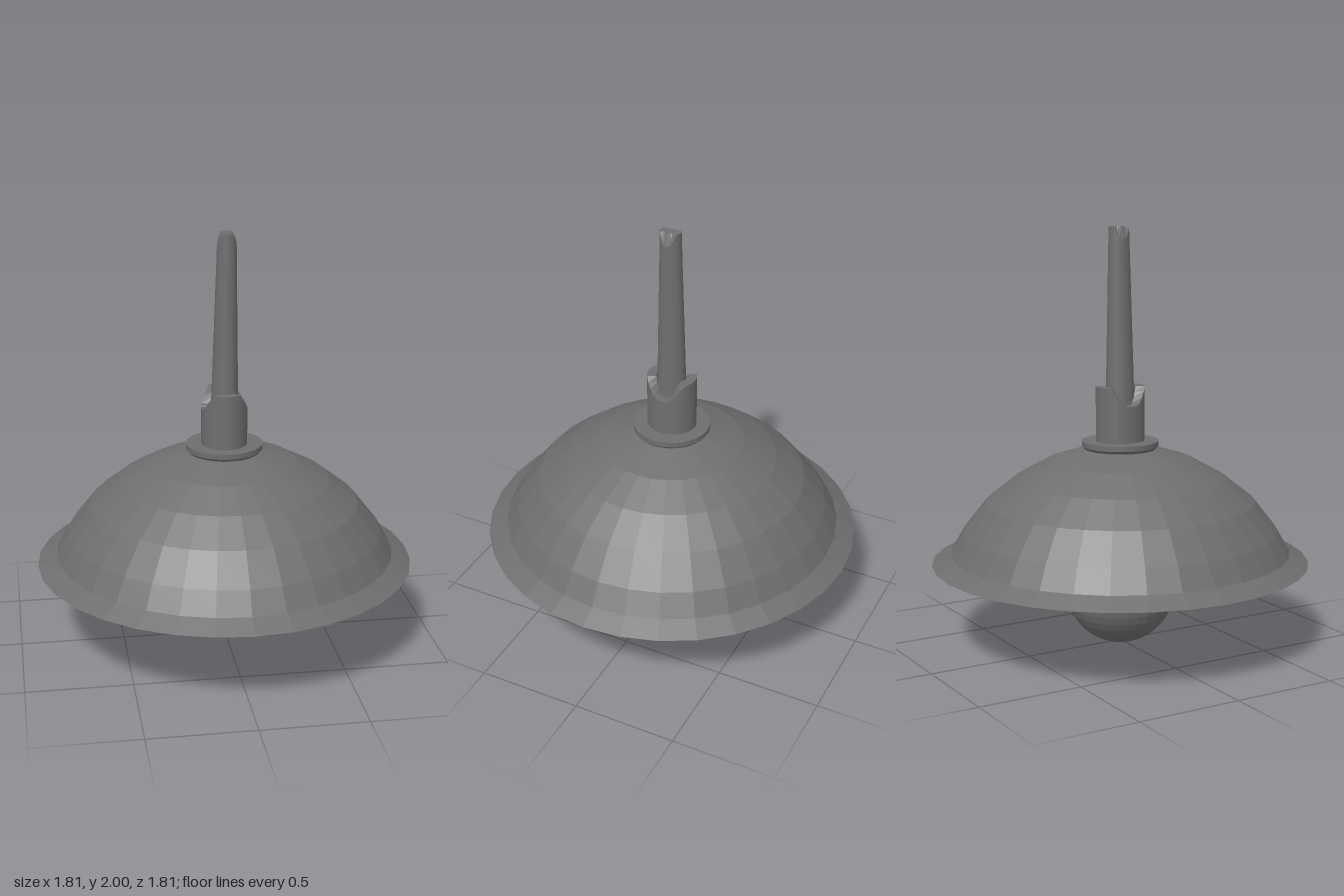
import * as THREE from 'three';

const SIDES = 32;

export function createModel() {
  const model = new THREE.Group();
  const material = new THREE.MeshStandardMaterial({ color: 0x6e6e6e, flatShading: true });

  // Revolve a profile of [radius, height] pairs around the y axis
  const lathe = (profile) =>
    new THREE.LatheGeometry(profile.map(([r, y]) => new THREE.Vector2(r, y)), SIDES);

  const add = (name, geometry) => {
    const mesh = new THREE.Mesh(geometry, material);
    mesh.name = name;
    model.add(mesh);
  };

  // Cut sloped notches into the +x and -x sides of the rim above `from`, outside `inner`
  const notch = (geometry, from, inner, depth) => {
    const p = geometry.attributes.position;
    for (let i = 0; i < p.count; i++) {
      const x = Math.abs(p.getX(i)), z = Math.abs(p.getZ(i));
      if (p.getY(i) < from || Math.hypot(x, z) < inner) continue;
      const ramp = THREE.MathUtils.clamp((Math.atan2(z, x) - 0.3) / 0.66, 0, 1);
      p.setY(i, p.getY(i) - depth * (1 - ramp));
    }
    return geometry;
  };

  // Shade: domed shell with a flared rim, outside then inside
  add('shade', lathe([
    [0.905, 0.405], [0.815, 0.455], [0.755, 0.56], [0.645, 0.7], [0.505, 0.81],
    [0.35, 0.895], [0.18, 0.95], [0, 0.965],
    [0, 0.935], [0.17, 0.925], [0.335, 0.87], [0.485, 0.785], [0.62, 0.68],
    [0.73, 0.545], [0.805, 0.425], [0.84, 0.405], [0.905, 0.405],
  ]));

  // Bulb: hemisphere bottom with a straight body reaching up into the shade
  const bulb = [];
  const R = 0.263;
  for (let i = 0; i <= 10; i++) {
    const a = (i / 10) * Math.PI / 2;
    bulb.push([R * Math.sin(a), R - R * Math.cos(a)]);
  }
  bulb.push([R, 0.89], [0, 0.89]);
  add('bulb', lathe(bulb));

  // Collar: flat disc with a bevelled underside on top of the shade
  add('collar', lathe([
    [0, 0.94], [0.165, 0.94], [0.172, 0.955], [0.183, 0.965], [0.183, 0.99], [0, 0.99],
  ]));

  // Socket: hollow sleeve, slightly narrower along x, with notched top
  const socket = notch(lathe([
    [0, 0.97], [0.119, 0.97], [0.119, 1.25], [0.074, 1.25], [0.074, 1.08], [0, 1.08],
  ]), 1.2, 0.07, 0.085);
  add('socket', socket.scale(0.92, 1, 1));

  // Stem: solid tapered rod leaning a little to +x, with notched top edge
  const stem = notch(lathe([
    [0, 1.05], [0.073, 1.05], [0.049, 2], [0.028, 2], [0, 2],
  ]), 1.99, 0.04, 0.055);
  const p = stem.attributes.position;
  for (let i = 0; i < p.count; i++) {
    const t = (p.getY(i) - 1.05) / 0.95;
    p.setX(i, p.getX(i) * 0.92 + 0.013 * t);
  }
  add('stem', stem);

  return model;
}
